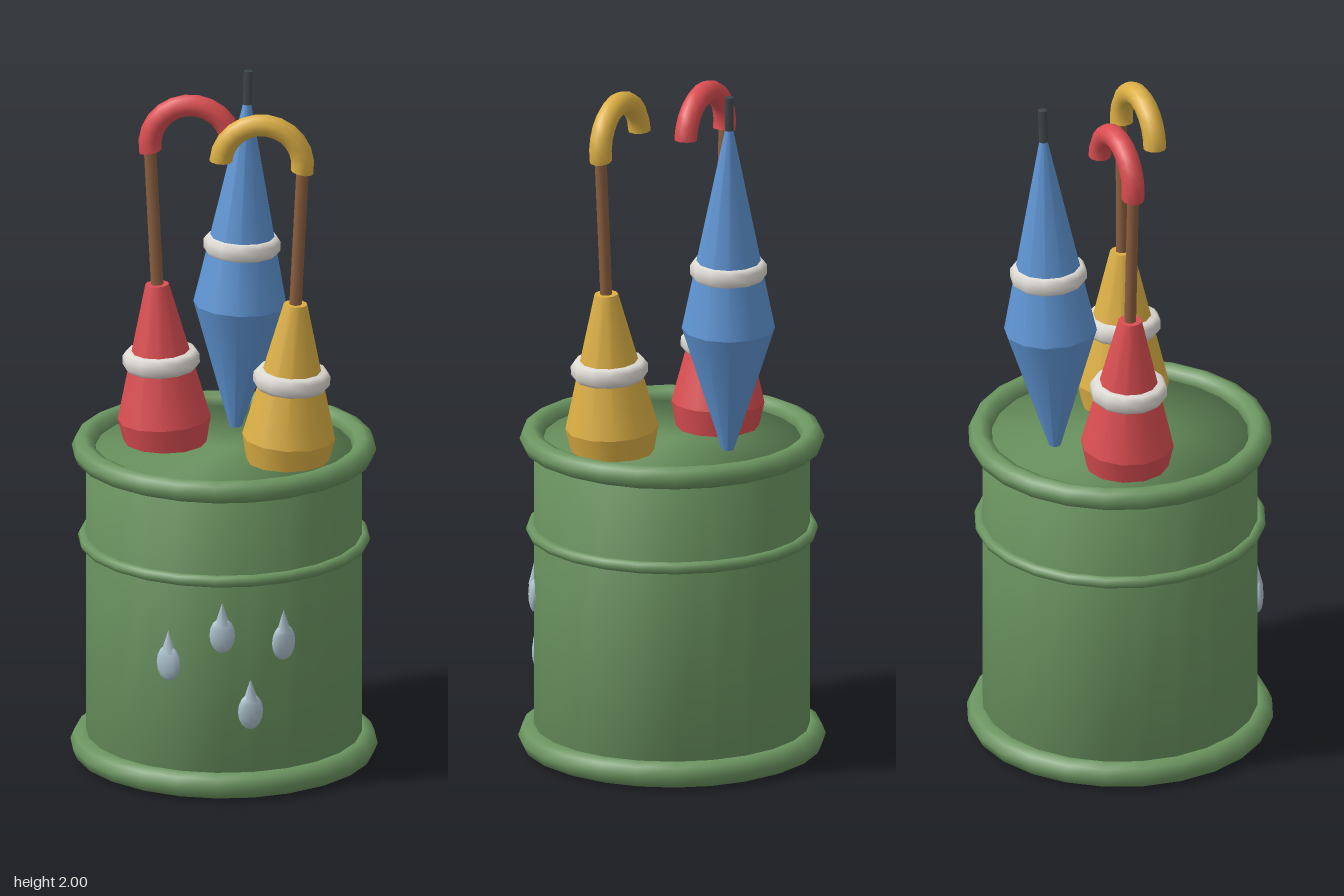
import * as THREE from 'three';
import { mergeVertices, mergeGeometries } from 'three/addons/utils/BufferGeometryUtils.js';

const mat = (name, color) => {
  const m = new THREE.MeshStandardMaterial({ color });
  m.name = name;
  return m;
};

function add(parent, name, geometry, material, x = 0, y = 0, z = 0) {
  const mesh = new THREE.Mesh(geometry, material);
  mesh.name = name;
  mesh.position.set(x, y, z);
  parent.add(mesh);
  return mesh;
}

// Capped cylinder with normals blended softly over its rims
function softCylinder(top, bottom, height, sides) {
  const g = new THREE.CylinderGeometry(top, bottom, height, sides);
  g.deleteAttribute('uv');
  g.deleteAttribute('normal');
  const merged = mergeVertices(g, 1e-5);
  merged.computeVertexNormals();
  return merged;
}

// Horizontal ring
const ring = (radius, tube, sides) =>
  new THREE.TorusGeometry(radius, tube, 8, sides).rotateX(Math.PI / 2);

// Strap: a flat band with bevelled edges
const strapGeometry = () => new THREE.LatheGeometry(
  [[0.07, -0.027], [0.1, -0.027], [0.111, -0.013], [0.111, 0.013], [0.1, 0.027], [0.07, 0.027]]
    .map(([r, y]) => new THREE.Vector2(r, y)), 12);

// Curved handle: part of a torus closed by a disc at each end
function hookGeometry(radius, tube, arc) {
  const start = new THREE.CircleGeometry(tube, 10).rotateX(Math.PI / 2).translate(radius, 0, 0);
  const end = new THREE.CircleGeometry(tube, 10).rotateX(-Math.PI / 2).translate(radius, 0, 0).rotateZ(arc);
  return mergeGeometries([new THREE.TorusGeometry(radius, tube, 10, 12, arc), start, end]);
}

// Furled canopy with its strap; the local origin is the widest point
function canopy(parent, material, strapMaterial, topRadius, topLength, bottomRadius, bottomLength) {
  const wide = 0.134;
  add(parent, 'upperCanopy', new THREE.CylinderGeometry(topRadius, wide, topLength, 12), material, 0, topLength / 2, 0);
  add(parent, 'lowerCanopy', new THREE.CylinderGeometry(wide, bottomRadius, bottomLength, 12), material, 0, -bottomLength / 2, 0);
  add(parent, 'strap', strapGeometry(), strapMaterial, 0, 0.177, 0);
}

export function createModel() {
  const green = mat('green drum', 0x6b9460);
  const red = mat('red', 0xdb4e52);
  const blue = mat('blue', 0x5f95d4);
  const gold = mat('gold', 0xdcaf44);
  const white = mat('off white strap', 0xdedad4);
  const brown = mat('brown wood', 0x8b5f3f);
  const dark = mat('dark metal', 0x40474a);
  const pale = mat('pale blue drop', 0xacc2cd);

  const model = new THREE.Group();
  model.name = 'umbrellaStand';

  // Drum with rolled rims and a middle band
  const drum = new THREE.Group();
  drum.name = 'drum';
  model.add(drum);
  add(drum, 'drumBody', softCylinder(0.397, 0.397, 0.926, 24), green, 0, 0.467, 0);
  add(drum, 'bottomRim', ring(0.403, 0.039, 24), green, 0, 0.041, 0);
  add(drum, 'middleBand', ring(0.402, 0.018, 24), green, 0, 0.66, 0);
  add(drum, 'topRim', ring(0.404, 0.034, 24), green, 0, 0.932, 0);

  // Raindrops on the drum front, each turned to face outward
  for (const [x, y] of [[-0.14, 0.4], [0.016, 0.495], [0.19, 0.462], [0.097, 0.262]]) {
    const drop = new THREE.Group();
    drop.name = 'raindrop';
    const angle = Math.asin(x / 0.395);
    drop.position.set(x, y, 0.395 * Math.cos(angle));
    drop.rotation.y = angle;
    add(drop, 'dropBody', new THREE.SphereGeometry(1, 12, 8), pale).scale.set(0.037, 0.054, 0.018);
    add(drop, 'dropTip', new THREE.ConeGeometry(0.023, 0.07, 8), pale, 0, 0.065, 0).scale.z = 0.75;
    model.add(drop);
  }

  // Two umbrellas standing tip down, handles bending toward the middle
  const upright = [
    { name: 'redUmbrella', material: red, at: [-0.175, 1.0, -0.055], lean: [0, 0.05], turn: Math.PI },
    { name: 'goldUmbrella', material: gold, at: [0.191, 1.0, 0.093], lean: [0.018, -0.05], turn: 0 },
  ];
  for (const { name, material, at, lean, turn } of upright) {
    const umbrella = new THREE.Group();
    umbrella.name = name;
    umbrella.position.set(...at);
    umbrella.rotation.set(lean[0], 0, lean[1]);
    canopy(umbrella, material, white, 0.034, 0.405, 0.01, 0.6);
    add(umbrella, 'shaft', new THREE.CylinderGeometry(0.018, 0.018, 0.46, 8), brown, 0, 0.62, 0);
    const hook = add(umbrella, 'handle', hookGeometry(0.118, 0.033, Math.PI + 0.13).rotateZ(-0.14), material,
      turn ? 0.118 : -0.118, 0.825, 0);
    hook.rotation.y = turn;
    model.add(umbrella);
  }

  // One umbrella standing tip up
  const flipped = new THREE.Group();
  flipped.name = 'blueUmbrella';
  flipped.position.set(0.035, 1.3, -0.203);
  flipped.rotation.set(-0.022, 0, -0.033);
  canopy(flipped, blue, white, 0.01, 0.61, 0.008, 0.4);
  add(flipped, 'ferrule', new THREE.CylinderGeometry(0.014, 0.014, 0.1, 6), dark, 0, 0.65, 0);
  model.add(flipped);

  return model;
}
